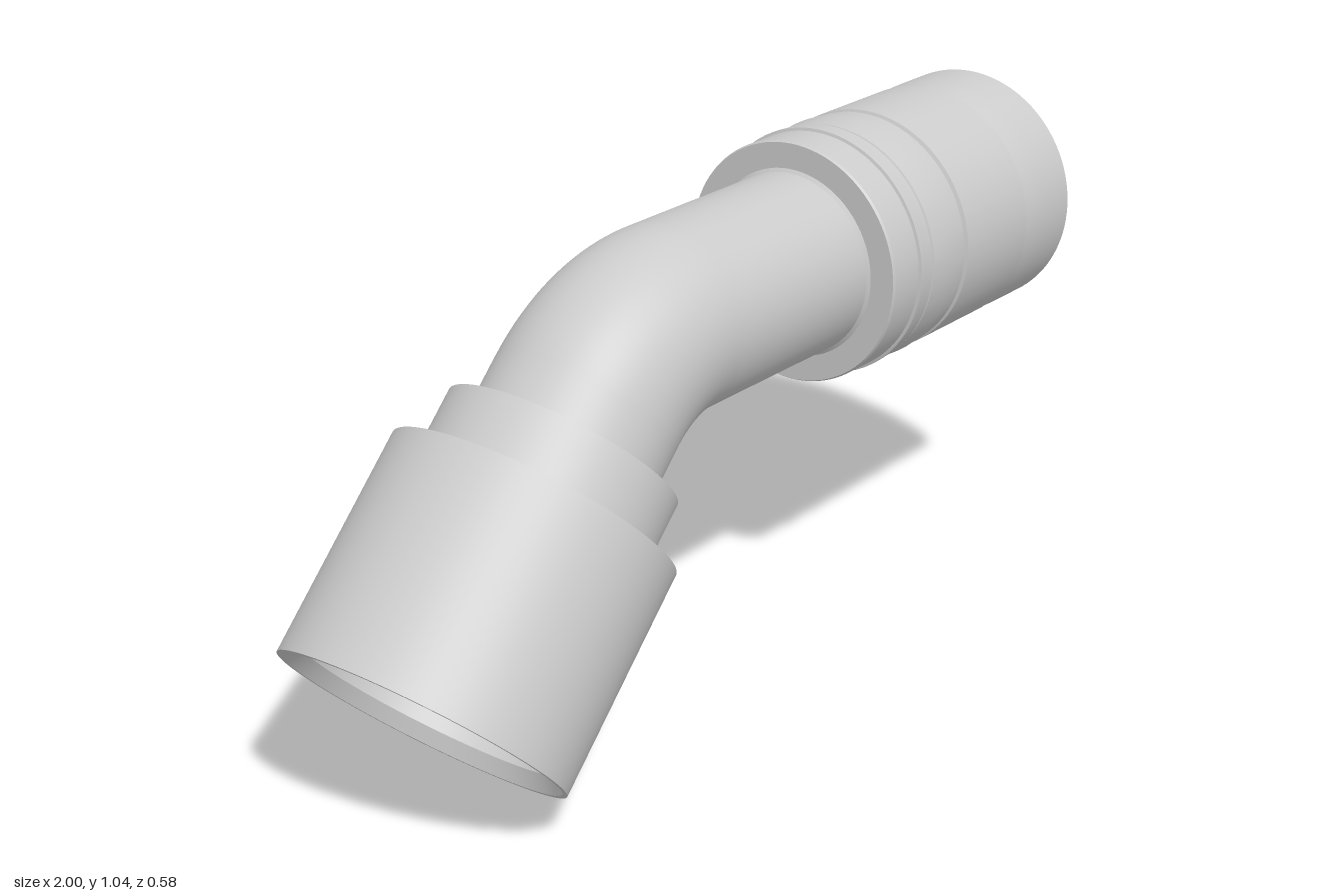
import * as THREE from 'three';
import { toCreasedNormals } from 'three/addons/utils/BufferGeometryUtils.js';

const PIPE_R = 0.19, BORE_R = 0.142, AXIS_Y = 0.787;
const BEND_R = 0.338, BEND_X = -0.08, BEND = Math.PI / 4;
const material = new THREE.MeshStandardMaterial({ color: 0xcccccc });
const insideMaterial = new THREE.MeshStandardMaterial({ color: 0xcccccc, side: THREE.BackSide });

// Turned part: profile of [radius, distance along axis], outside upward, inside downward
function turned(name, profile) {
  const points = profile.map(([r, d]) => new THREE.Vector2(r, d));
  const mesh = new THREE.Mesh(toCreasedNormals(new THREE.LatheGeometry(points, 96), 0.3), material);
  mesh.name = name;
  return mesh;
}

// Quarter-round steps for the rolled lip of the inner tube
function roundedLip(outer, inner, top, steps = 12) {
  const half = (outer - inner) / 2, mid = (outer + inner) / 2, points = [];
  for (let i = 0; i <= steps; i++) {
    const a = (Math.PI * i) / steps;
    points.push([mid + half * Math.cos(a), top - half + half * Math.sin(a)]);
  }
  return points;
}

// Elbow: outer skin and bore are arcs of a torus
function elbow() {
  const group = new THREE.Group();
  group.name = 'elbow';
  [['elbowOuter', PIPE_R, material], ['elbowBore', BORE_R, insideMaterial]].forEach(([name, r, mat]) => {
    const geometry = new THREE.TorusGeometry(BEND_R, r, 96, 32, BEND);
    geometry.rotateZ(Math.PI / 2);
    const mesh = new THREE.Mesh(geometry, mat);
    mesh.name = name;
    group.add(mesh);
  });
  group.position.set(BEND_X, AXIS_Y - BEND_R, 0);
  return group;
}

export function createModel() {
  const model = new THREE.Group();
  model.name = 'hoseElbowFitting';

  // Horizontal run: distances along the axis equal x
  const run = new THREE.Group();
  run.name = 'hoseEnd';
  run.rotation.z = -Math.PI / 2;
  run.position.y = AXIS_Y;
  run.add(turned('straightTube', [
    [PIPE_R, BEND_X], [PIPE_R, 0.33], [0.177, 0.34],
    ...roundedLip(0.177, BORE_R, 0.99),
    [BORE_R, BEND_X],
  ]));

  // Crimped sleeve with shallow grooves and an open, tapered mouth
  run.add(turned('crimpSleeve', [
    [0.184, 0.322], [0.197, 0.332], [0.25, 0.332], [0.253, 0.337], [0.253, 0.42],
    [0.259, 0.422], [0.259, 0.43], [0.257, 0.445], [0.257, 0.464],
    [0.25, 0.467], [0.25, 0.471], [0.255, 0.474], [0.259, 0.53], [0.255, 0.588],
    [0.25, 0.59], [0.25, 0.594], [0.258, 0.598], [0.258, 0.828],
    [0.253, 0.832], [0.257, 0.87], [0.258, 0.9], [0.258, 1.0],
    [0.248, 1.0], [0.228, 0.85], [0.176, 0.85],
  ]));
  model.add(run);

  model.add(elbow());

  // Angled end: distances start at the open face of the nut
  const angled = new THREE.Group();
  angled.name = 'nutEnd';
  angled.rotation.z = -BEND;
  angled.position.set(-0.7925, 0.215, 0);
  const bendEnd = 0.67;
  angled.add(turned('angledTube', [
    [BORE_R, 0.12], [0.165, 0.12], [PIPE_R, 0.17], [PIPE_R, bendEnd], [BORE_R, bendEnd], [BORE_R, 0.12],
  ]));
  angled.add(turned('swivelNut', [
    [0.292, 0], [0.292, 0.4525], [0.237, 0.4525], [0.237, 0.573], [PIPE_R, 0.573],
    [PIPE_R, 0.3], [0.26, 0.3], [0.26, 0.03], [0.282, 0], [0.292, 0],
  ]));
  model.add(angled);

  return model;
}
